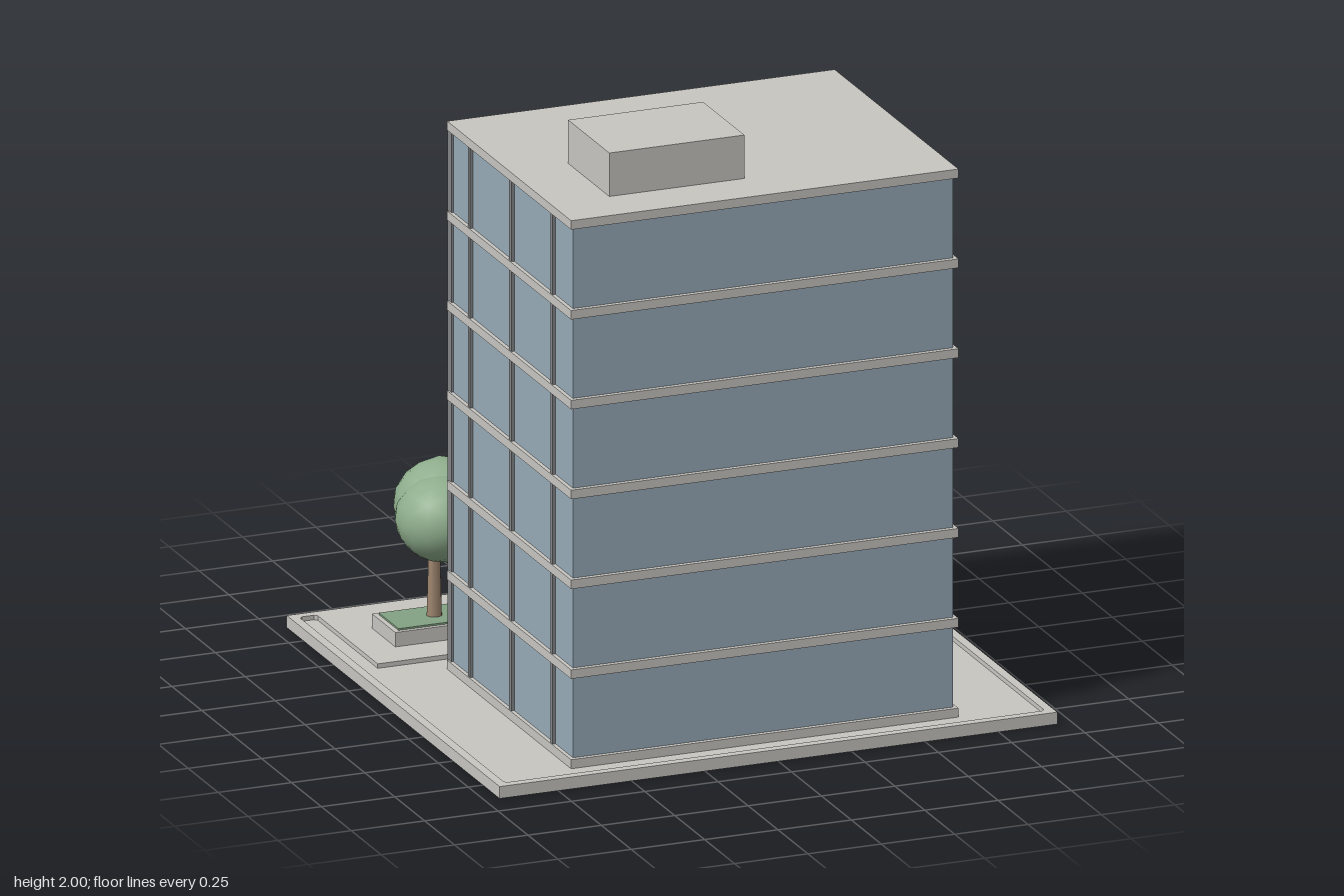
import * as THREE from 'three';

const mat = (name, color) => {
  const m = new THREE.MeshStandardMaterial({ color });
  m.name = name;
  return m;
};

export function createModel() {
  const concrete = mat('concrete', 0xc8c6c1);
  const glass = mat('glass', 0x98abb8);
  const metal = mat('metal', 0x858688);
  const wood = mat('wood', 0xa08770);
  const leaf = mat('leaf', 0x8fae8d);
  const soil = mat('planting', 0x84a284);

  const group = (name, parent) => {
    const g = new THREE.Group();
    g.name = name;
    if (parent) parent.add(g);
    return g;
  };
  const add = (parent, name, geo, material, x = 0, y = 0, z = 0) => {
    const m = new THREE.Mesh(geo, material);
    m.name = name;
    m.position.set(x, y, z);
    parent.add(m);
    return m;
  };
  // Box given by its min and max on each axis
  const box = (parent, name, material, x0, x1, y0, y1, z0, z1) =>
    add(parent, name, new THREE.BoxGeometry(x1 - x0, y1 - y0, z1 - z0), material,
      (x0 + x1) / 2, (y0 + y1) / 2, (z0 + z1) / 2);

  const model = group('officeBuilding');

  // Site: base slab, with a kerb and plaza raised around a sunken strip
  const site = group('site', model);
  box(site, 'baseSlab', concrete, -0.95, 0.95, 0, 0.025, -0.89, 0.89);
  const outline = new THREE.Shape([[-0.95, -0.89], [0.95, -0.89], [0.95, 0.89], [-0.95, 0.89]]
    .map(([x, z]) => new THREE.Vector2(x, z)));
  const c = 0.01;
  const half = [[0.86, -0.35], [0.86, -0.86 + c], [0.86 + c, -0.86], [0.92 - c, -0.86],
    [0.92, -0.86 + c], [0.92, 0.86 - c], [0.92 - c, 0.86]];
  const ring = [...half, ...half.map(([x, z]) => [-x, z]).reverse()];
  outline.holes.push(new THREE.Path(ring.map(([x, z]) => new THREE.Vector2(x, z))));
  const kerbGeo = new THREE.ExtrudeGeometry(outline, { depth: 0.015, bevelEnabled: false });
  kerbGeo.rotateX(Math.PI / 2);
  add(site, 'kerbAndPlaza', kerbGeo, concrete, 0, 0.04, 0);

  // Tower: glass body, floor slabs and mullions
  const tower = group('tower', model);
  box(tower, 'glassBody', glass, -0.647, 0.647, 0.03, 1.84, -0.245, 0.76);
  for (let i = 0; i < 7; i++) {
    const y = 0.025 + i * 0.3;
    box(tower, 'floorSlab', concrete, -0.66, 0.66, y, y + 0.03, -0.26, 0.776);
    const x = (i - 3) * 0.215;
    box(tower, 'backMullion', metal, x - 0.009, x + 0.009, 0.04, 1.838, -0.272, -0.24);
  }
  for (const s of [-1, 1]) {
    for (const z of [-0.085, 0.26, 0.605]) {
      const m = box(tower, 'sideMullion', metal, 0.63, 0.657, 0.04, 1.838, z - 0.009, z + 0.009);
      m.position.x *= s;
    }
  }
  box(tower, 'roofHouse', concrete, -0.46, 0, 1.85, 2, 0.26, 0.605);

  // Entrance
  const entrance = group('entrance', model);
  box(entrance, 'lobby', glass, -0.27, 0.27, 0.03, 0.33, -0.39, -0.24);
  box(entrance, 'canopy', concrete, -0.317, 0.317, 0.33, 0.36, -0.505, -0.25);

  // Trees in planters; each lobe is [x, y, z, radius]
  const lobes = [
    [[-0.53, 0.455, -0.59, 0.168], [-0.57, 0.44, -0.507, 0.157]],
    [[0.51, 0.475, -0.6, 0.143], [0.62, 0.495, -0.535, 0.135], [0.555, 0.42, -0.5, 0.14]],
  ];
  lobes.forEach((list, i) => {
    const x = i ? 0.575 : -0.575;
    const tree = group(i ? 'leftTree' : 'rightTree', model);
    box(tree, 'planter', concrete, x - 0.172, x + 0.172, 0.035, 0.088, -0.675, -0.48);
    box(tree, 'plantingBed', soil, x - 0.155, x + 0.155, 0.086, 0.094, -0.66, -0.495);
    add(tree, 'trunk', new THREE.CylinderGeometry(0.017, 0.026, 0.32, 8), wood, x, 0.245, -0.577);
    for (const [lx, ly, lz, r] of list) {
      const crown = add(tree, 'foliage', new THREE.IcosahedronGeometry(r, 2), leaf, lx, ly, lz);
      crown.scale.y = i ? 0.8 : 0.9;
    }
  });

  // Bench
  const bench = group('bench', model);
  box(bench, 'seat', wood, -0.173, 0.173, 0.1, 0.117, -0.735, -0.655);
  box(bench, 'backrest', wood, -0.173, 0.173, 0.14, 0.186, -0.738, -0.726);
  for (const x of [-0.135, 0.135]) {
    box(bench, 'benchLeg', metal, x - 0.012, x + 0.012, 0.04, 0.1, -0.732, -0.665);
  }
  return model;
}
